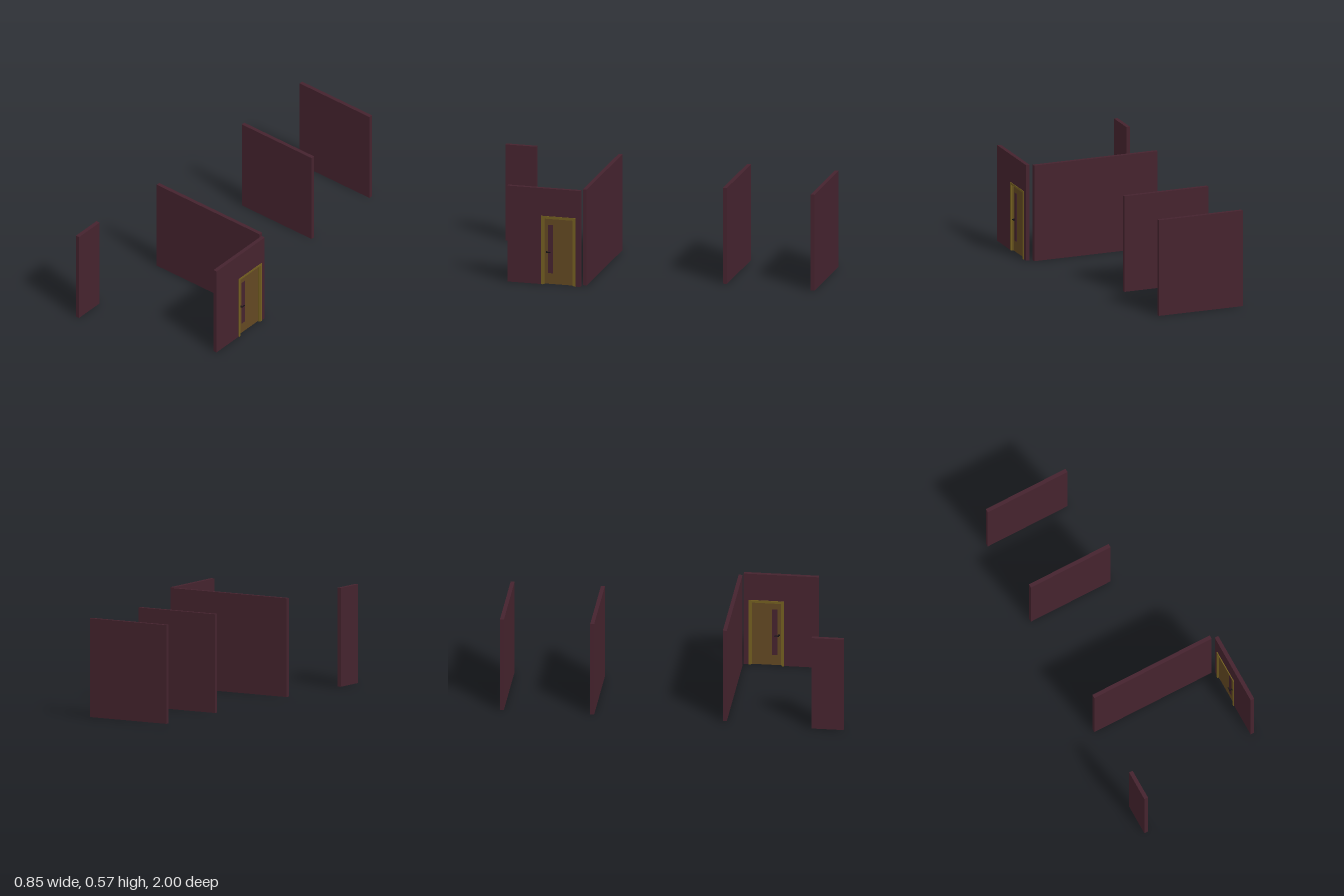
import * as THREE from 'three';

const mat = (name, color) => new THREE.MeshStandardMaterial({ name, color });

export function createModel() {
  const model = new THREE.Group();
  model.name = 'wallsWithDoor';
  const wallMat = mat('maroon', 0x45232e);
  const frameMat = mat('frameOchre', 0x735e20);
  const doorMat = mat('doorBrown', 0x624822);
  const handleMat = mat('black', 0x141214);

  // box given by its extents
  const box = (parent, name, m, x0, x1, y0, y1, z0, z1) => {
    const mesh = new THREE.Mesh(new THREE.BoxGeometry(x1 - x0, y1 - y0, z1 - z0), m);
    mesh.position.set((x0 + x1) / 2, (y0 + y1) / 2, (z0 + z1) / 2);
    mesh.name = name;
    parent.add(mesh);
  };

  // extrudes a (z, y) outline along x, from x0 to x1
  const plateAlongX = (parent, name, m, points, x0, x1) => {
    const shape = new THREE.Shape(points.map(([z, y]) => new THREE.Vector2(-z, y)));
    const geo = new THREE.ExtrudeGeometry(shape, { depth: x1 - x0, bevelEnabled: false });
    geo.rotateY(Math.PI / 2).translate(x0, 0, 0);
    const mesh = new THREE.Mesh(geo, m);
    mesh.name = name;
    parent.add(mesh);
  };
  // upside-down U: outer extents and leg width
  const arch = (z0, z1, top, w) => [
    [z0, 0], [z0, top], [z1, top], [z1, 0],
    [z1 - w, 0], [z1 - w, top - w], [z0 + w, top - w], [z0 + w, 0],
  ];

  // plain walls
  const H = 0.575;
  box(model, 'backWall', wallMat, -0.387, 0.135, 0, H, -1, -0.977);
  box(model, 'middleWall', wallMat, -0.387, 0.135, 0, H, -0.476, -0.453);
  box(model, 'longWall', wallMat, -0.387, 0.382, 0, H, 0.294, 0.317);
  box(model, 'shortSideWall', wallMat, -0.427, -0.404, 0, H, 0.814, 1);

  // wall with the doorway
  plateAlongX(model, 'doorWall', wallMat, [
    [0.321, 0], [0.321, H], [0.757, H], [0.757, 0],
    [0.548, 0], [0.548, 0.403], [0.356, 0.403], [0.356, 0],
  ], 0.4, 0.423);

  // door frame: casing on both faces and an inner stop
  const door = new THREE.Group();
  door.name = 'door';
  model.add(door);
  plateAlongX(door, 'doorCasing', frameMat, arch(0.35, 0.556, 0.41, 0.012), 0.395, 0.426);
  plateAlongX(door, 'doorStop', frameMat, arch(0.362, 0.544, 0.398, 0.006), 0.402, 0.418);

  // door leaf with a tall inset panel showing on both faces
  box(door, 'doorLeaf', doorMat, 0.404, 0.412, 0.002, 0.392, 0.368, 0.538);
  box(door, 'doorPanel', wallMat, 0.4032, 0.4128, 0.066, 0.355, 0.486, 0.517);

  // lever handles, one on each face
  for (const [face, out] of [[0.404, -1], [0.412, 1]]) {
    const reach = out < 0 ? 0.017 : 0.012;
    const tip = face + out * reach;
    const span = (a, b) => [Math.min(a, b), Math.max(a, b)];
    box(door, 'handleStem', handleMat, ...span(face, tip), 0.19, 0.195, 0.522, 0.527);
    box(door, 'handleLever', handleMat, ...span(tip, tip - out * 0.004), 0.19, 0.195, 0.5, 0.527);
    box(door, 'handlePlate', handleMat, ...span(face, face + out * 0.002), 0.187, 0.198, 0.519, 0.53);
  }
  return model;
}
